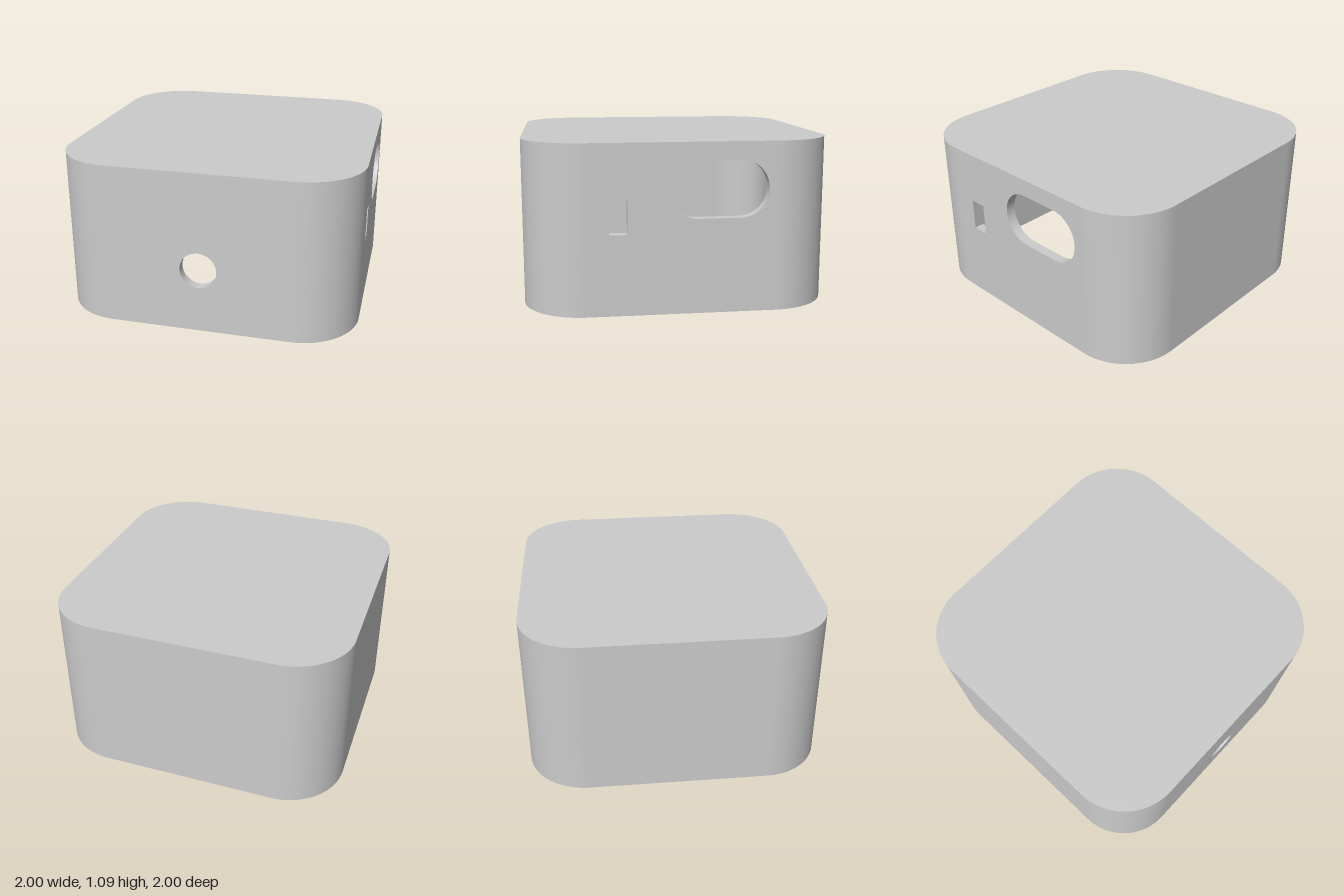
import * as THREE from 'three';
import { toCreasedNormals } from 'three/addons/utils/BufferGeometryUtils.js';

const H = 1.09, T = 0.065, R = 0.4, FLAT = 1 - R; // height, wall, corner radius, half flat
const SEG = 16;
const material = new THREE.MeshStandardMaterial({ color: 0xcccccc });

function add(parent, name, geometry) {
  const mesh = new THREE.Mesh(geometry, material);
  mesh.name = name;
  parent.add(mesh);
  return mesh;
}

// Turns a surface inside out
function flip(geometry) {
  geometry.index.array.reverse();
  geometry.computeVertexNormals();
  return geometry;
}

// Square outline with rounded corners around fixed corner centres
function roundedSquare(r, PathType = THREE.Shape) {
  const p = new PathType();
  [[1, 1], [-1, 1], [-1, -1], [1, -1]].forEach(([x, y], i) =>
    p.absarc(x * FLAT, y * FLAT, r, i * Math.PI / 2, (i + 1) * Math.PI / 2));
  p.closePath();
  return p;
}

function circle(x, y, r) {
  return new THREE.Path().absarc(x, y, r, 0, Math.PI * 2);
}

function rectangle(x0, y0, x1, y1) {
  const p = new THREE.Path();
  p.moveTo(x0, y0).lineTo(x1, y0).lineTo(x1, y1).lineTo(x0, y1).closePath();
  return p;
}

function stadium(x0, y0, x1, y1) {
  const r = (y1 - y0) / 2, cy = (y0 + y1) / 2;
  const p = new THREE.Path();
  p.absarc(x1 - r, cy, r, -Math.PI / 2, Math.PI / 2);
  p.absarc(x0 + r, cy, r, Math.PI / 2, Math.PI * 1.5);
  p.closePath();
  return p;
}

// Inner faces of an opening through the wall
function lining(path) {
  const pts = path.getPoints(SEG), pos = [], index = [];
  pts.forEach((p, i) => {
    pos.push(p.x, p.y, 0, p.x, p.y, -T);
    const a = 2 * i;
    if (i < pts.length - 1) index.push(a, a + 2, a + 1, a + 1, a + 2, a + 3);
  });
  const g = new THREE.BufferGeometry();
  g.setAttribute('position', new THREE.Float32BufferAttribute(pos, 3));
  g.setIndex(index);
  return toCreasedNormals(g, 0.6);
}

// One flat wall with its openings, plus the rounded corner to its left
function wall(name, openings) {
  const side = new THREE.Group();
  side.name = name;
  const panel = (height) => {
    const s = new THREE.Shape();
    s.moveTo(-FLAT, 0).lineTo(FLAT, 0).lineTo(FLAT, height).lineTo(-FLAT, height).closePath();
    s.holes.push(...openings);
    return new THREE.ShapeGeometry(s, SEG);
  };
  const corner = (r, height) =>
    new THREE.CylinderGeometry(r, r, height, SEG, 1, true, 0, Math.PI / 2)
      .translate(FLAT, height / 2, FLAT);
  add(side, 'outerPanel', panel(H).translate(0, 0, 1));
  add(side, 'innerPanel', flip(panel(H - T)).translate(0, 0, 1 - T));
  add(side, 'outerCorner', corner(R, H));
  add(side, 'innerCorner', flip(corner(R - T, H - T)));
  for (const o of openings) add(side, 'openingEdge', lining(o).translate(0, 0, 1));
  return side;
}

// Hollow screw post standing in a corner
function screwPost() {
  const s = new THREE.Shape().absarc(0, 0, 0.116, 0, Math.PI * 2);
  s.holes.push(circle(0, 0, 0.065));
  const g = new THREE.ExtrudeGeometry(s, { depth: 0.59, bevelEnabled: false, curveSegments: SEG });
  return toCreasedNormals(g.rotateX(-Math.PI / 2), 0.6);
}

export function createModel() {
  const model = new THREE.Group();
  model.name = 'enclosure';

  // Four sides; the front has a round hole, the left side a slot and an oval port
  const sides = [
    ['frontWall', [circle(0, 0.433, 0.122)]],
    ['leftWall', [rectangle(-0.46, 0.52, -0.345, 0.735), stadium(-0.09, 0.61, 0.545, 0.975)]],
    ['backWall', []],
    ['rightWall', []],
  ];
  sides.forEach(([name, openings], i) => {
    const w = wall(name, openings);
    w.rotation.y = i * Math.PI / 2;
    model.add(w);
  });

  // Closed top and the ceiling under it
  add(model, 'top', new THREE.ShapeGeometry(roundedSquare(R), SEG)
    .rotateX(-Math.PI / 2).translate(0, H, 0));
  add(model, 'ceiling', new THREE.ShapeGeometry(roundedSquare(R - T), SEG)
    .rotateX(Math.PI / 2).translate(0, H - T, 0));

  // Rim around the open bottom
  const rim = roundedSquare(R);
  rim.holes.push(roundedSquare(R - T, THREE.Path));
  add(model, 'bottomRim', new THREE.ShapeGeometry(rim, SEG).rotateX(Math.PI / 2));

  // Two posts in opposite corners
  for (const s of [1, -1]) add(model, 'screwPost', screwPost()).position.set(s * 0.78, 0, -s * 0.78);

  return model;
}
